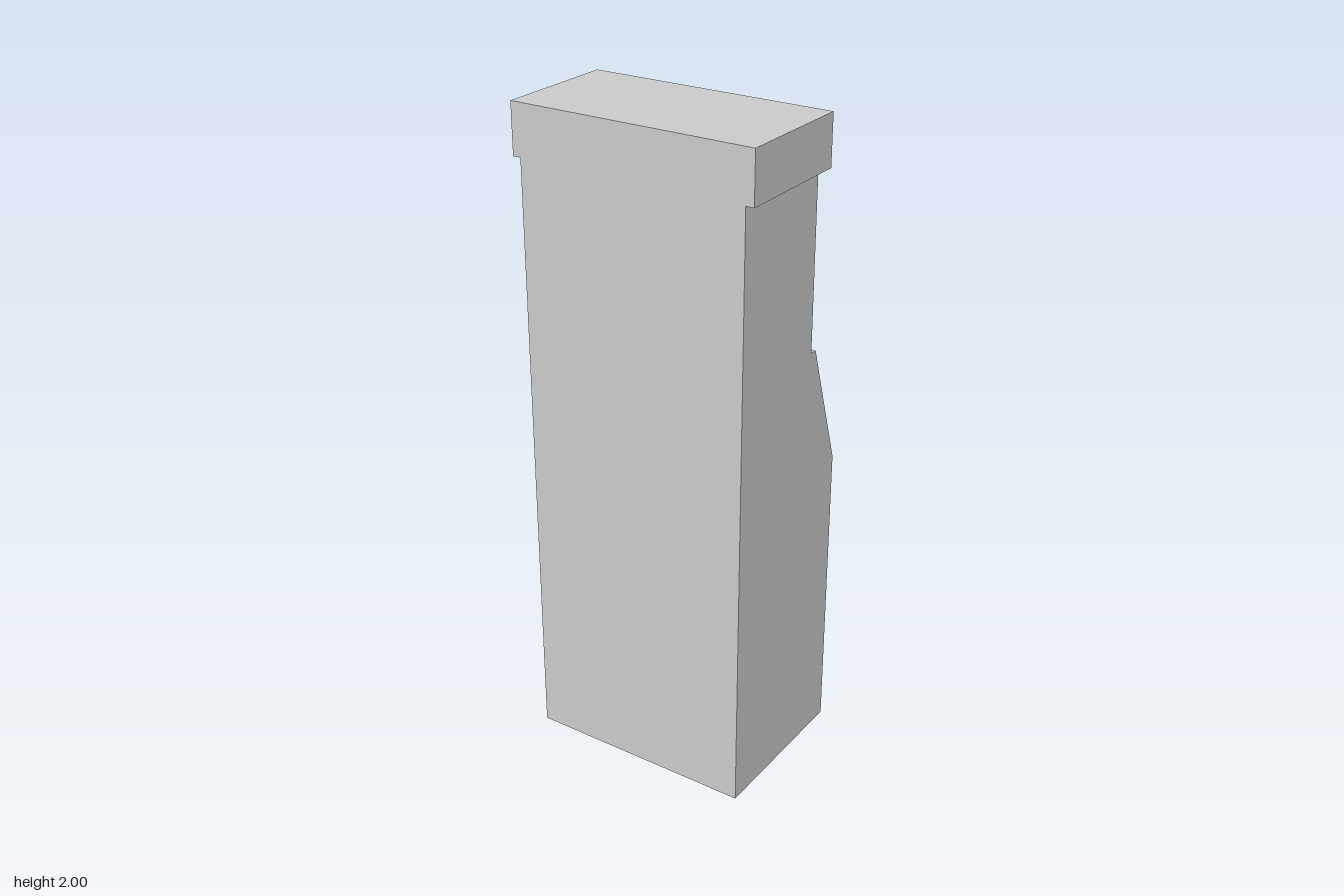
import * as THREE from 'three';

const grey = new THREE.MeshStandardMaterial({ color: 0xcccccc });
const shell = new THREE.MeshStandardMaterial({ color: 0xcccccc, side: THREE.DoubleSide });
const glass = new THREE.MeshStandardMaterial({ color: 0xc0c8d0 });
const brass = new THREE.MeshStandardMaterial({ color: 0xb8902e });

const HALF_WIDTH = 0.355;
const BACK = 0.263;
const WALL = -0.098; // upright wall that carries the screen
const FRONT = -0.251;

// Box given by its limits, symmetric in x
function slab(name, halfWidth, y0, y1, z0, z1, material) {
  const mesh = new THREE.Mesh(new THREE.BoxGeometry(halfWidth * 2, y1 - y0, z1 - z0), material);
  mesh.position.set(0, (y0 + y1) / 2, (z0 + z1) / 2);
  mesh.name = name;
  return mesh;
}

// Side profile of [z, y] points swept across the width; triangles for which isOpen holds are left out
function sheetShell(name, profile, isOpen) {
  const shape = new THREE.Shape(profile.map(([z, y]) => new THREE.Vector2(-z, y)));
  const swept = new THREE.ExtrudeGeometry(shape, { depth: HALF_WIDTH * 2, bevelEnabled: false });
  swept.rotateY(Math.PI / 2).translate(-HALF_WIDTH, 0, 0);
  const source = swept.index ? swept.toNonIndexed() : swept;
  const pos = source.attributes.position;
  const kept = [];
  for (let i = 0; i < pos.count; i += 3) {
    const corners = [0, 1, 2].map((k) => new THREE.Vector3().fromBufferAttribute(pos, i + k));
    if (!isOpen(corners)) corners.forEach((c) => kept.push(c.x, c.y, c.z));
  }
  const geometry = new THREE.BufferGeometry();
  geometry.setAttribute('position', new THREE.Float32BufferAttribute(kept, 3));
  geometry.computeVertexNormals();
  const mesh = new THREE.Mesh(geometry, shell);
  mesh.name = name;
  return mesh;
}

export function createModel() {
  const group = new THREE.Group();
  group.name = 'kiosk';

  const onFloor = (c) => c.every((p) => Math.abs(p.y) < 1e-4);
  const onWall = (c) => c.every((p) => Math.abs(p.z - WALL) < 1e-4);

  // Tall hollow cabinet, open underneath
  group.add(sheetShell('cabinet',
    [[BACK, 0], [WALL, 0], [WALL, 1.848], [BACK, 1.848]], onFloor));

  // Hollow lower console with sloped top, open underneath and closed by the cabinet wall
  group.add(sheetShell('console',
    [[WALL, 0], [FRONT, 0], [FRONT, 0.928], [-0.122, 1.317], [WALL, 1.317]],
    (c) => onFloor(c) || onWall(c)));

  // Overhanging top
  group.add(slab('topCap', 0.38, 1.848, 2, -0.122, BACK, grey));

  // Screen, door panel and floating handle bar
  group.add(slab('screen', 0.295, 1.397, 1.768, -0.104, WALL + 0.004, glass));
  group.add(slab('doorPanel', 0.303, 0.077, 0.853, -0.263, FRONT + 0.004, grey));
  group.add(slab('handle', 0.077, 1.037, 1.061, -0.263, -0.239, brass));

  return group;
}
